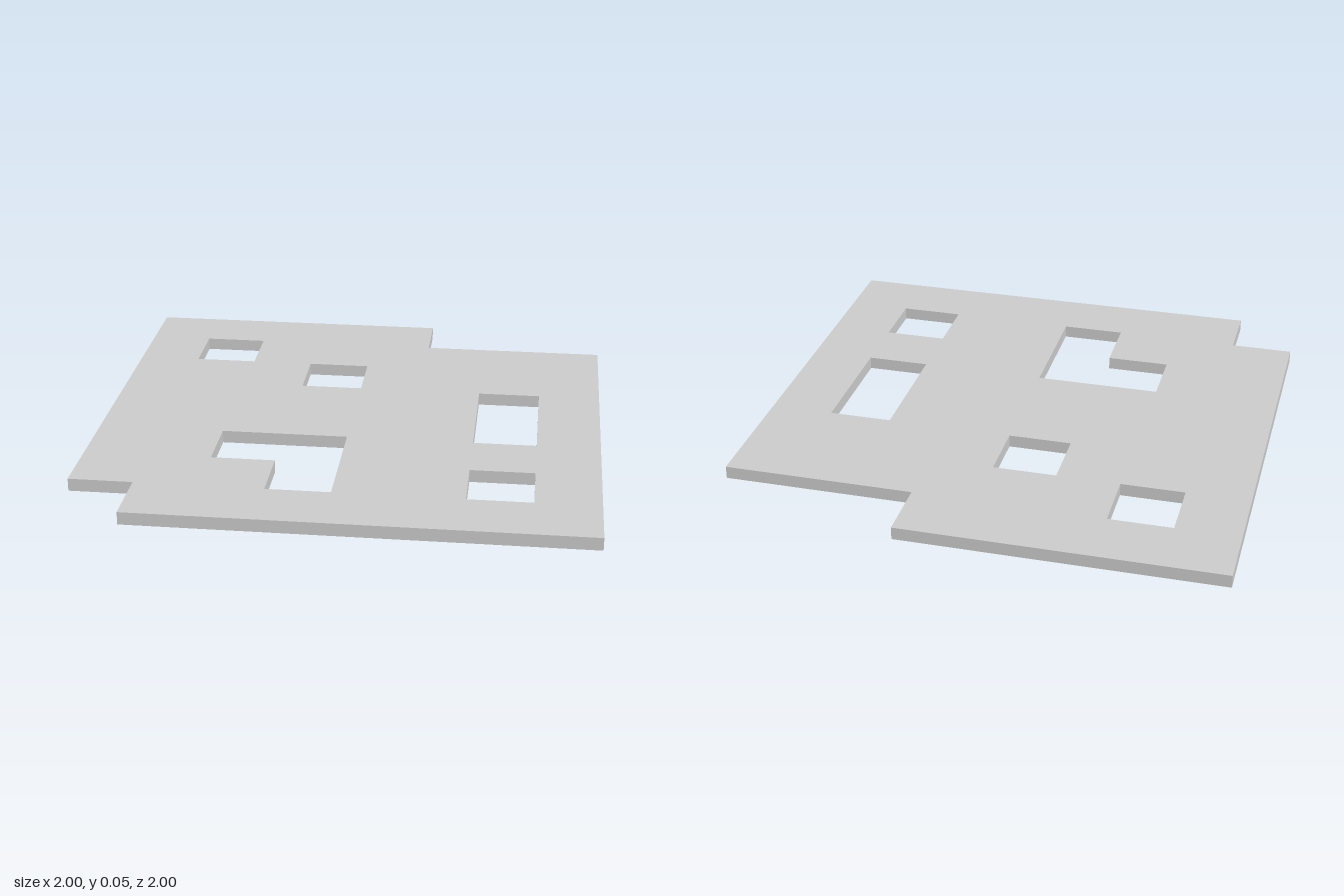
import * as THREE from 'three';

const THICKNESS = 0.05;

// Plan points are [x, z]; the shape is drawn with y = -z and then laid flat.
const toPlan = (points) => points.map(([x, z]) => new THREE.Vector2(x, -z));
const rect = (x0, z0, x1, z1) => [[x0, z0], [x1, z0], [x1, z1], [x0, z1]];

export function createModel() {
  const group = new THREE.Group();
  group.name = 'perforatedPlate';

  // Square outline with two notched corners
  const outline = new THREE.Shape(toPlan([
    [-1, -1], [0.25, -1], [0.25, -0.75], [1, -0.75],
    [1, 1], [-0.75, 1], [-0.75, 0.75], [-1, 0.75],
  ]));

  // Openings through the plate
  const openings = [
    rect(-0.75, -0.75, -0.5, -0.5),
    rect(-0.25, -0.5, 0, -0.25),
    rect(0.5, -0.25, 0.75, 0.25),
    rect(0.5, 0.5, 0.75, 0.75),
    // L-shaped opening
    [[-0.5, 0.25], [0, 0.25], [0, 0.75], [-0.25, 0.75], [-0.25, 0.5], [-0.5, 0.5]],
  ];
  // Openings wind against the outline so their walls face into the gaps
  outline.holes = openings.map((points) => new THREE.Path(toPlan(points).reverse()));

  // Plate body, resting on the ground
  const geometry = new THREE.ExtrudeGeometry(outline, { depth: THICKNESS, bevelEnabled: false });
  geometry.rotateX(-Math.PI / 2);
  const plate = new THREE.Mesh(
    geometry,
    new THREE.MeshStandardMaterial({ color: 0xcccccc, flatShading: true }),
  );
  plate.name = 'plate';
  group.add(plate);

  return group;
}
